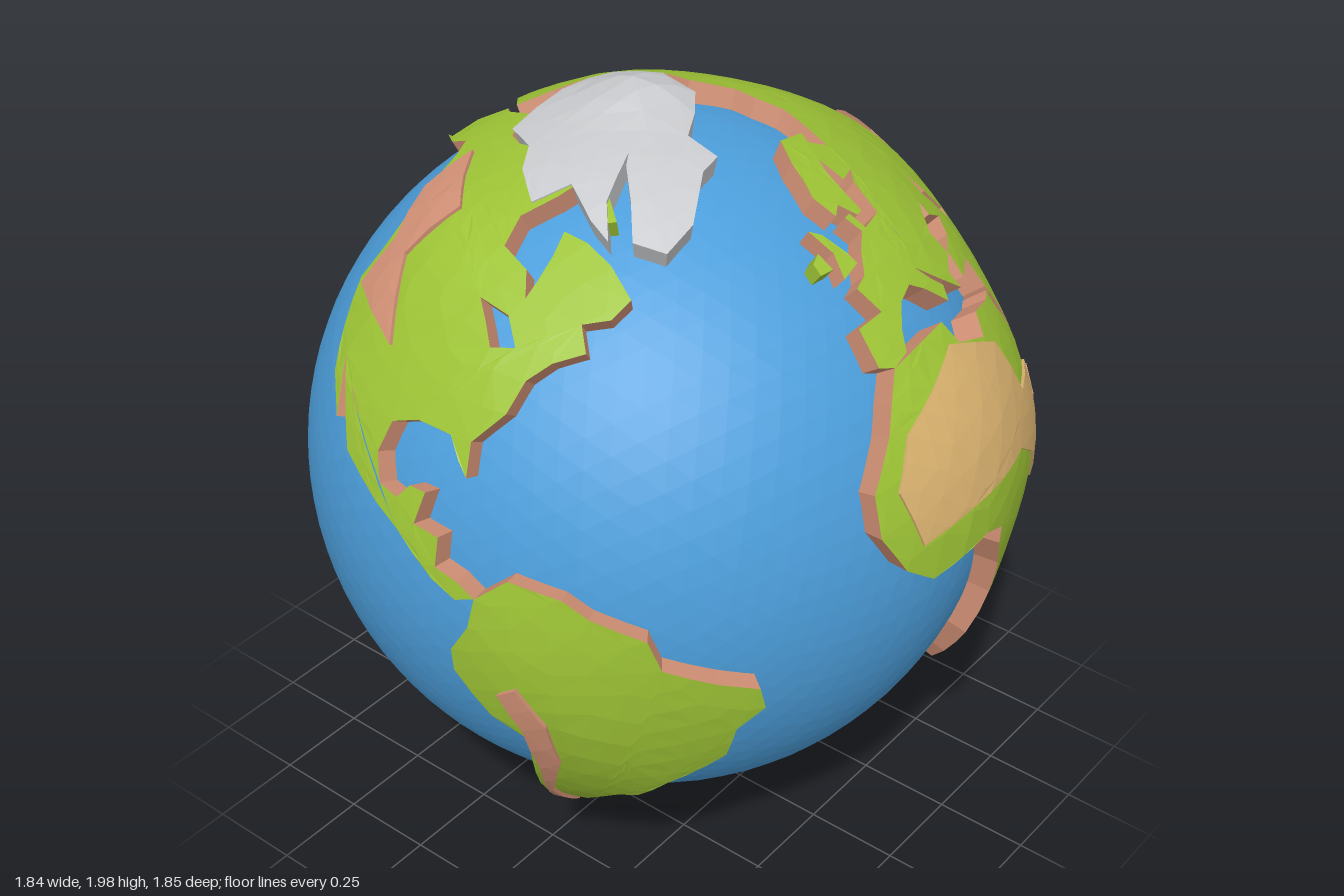
import * as THREE from 'three';

const CENTER = [-0.05, 1.01, 0];
const SEA = 0.885, COAST = 0.937, MAX_EDGE = 0.12;

const paint = (name, color, flat = true) => {
  const m = new THREE.MeshStandardMaterial({ color, flatShading: flat });
  m.name = name;
  return m;
};

// Unit direction from latitude and longitude in degrees
function dir([lat, lon]) {
  const a = THREE.MathUtils.degToRad(lat), b = THREE.MathUtils.degToRad(lon);
  return new THREE.Vector3(Math.cos(a) * Math.cos(b), Math.sin(a), -Math.cos(a) * Math.sin(b));
}
// Unit direction from a plan position over the north pole
const polar = ([x, z]) => new THREE.Vector3(x, Math.sqrt(1 - x * x - z * z), z);

// Broad highlands: position, extra height, width in radians
const highlands = [
  [dir([17, 8]), 0.042, 0.34], [dir([34, 88]), 0.045, 0.28], [dir([5, 33]), 0.02, 0.25],
  [dir([50, -116]), 0.016, 0.2], [dir([-24, 128]), 0.02, 0.2], [polar([-0.07, -0.03]), 0.045, 0.13],
];
function relief(d) {
  let h = 0.005 * Math.sin(9 * d.x + 4 * d.y) * Math.sin(8 * d.z - 5 * d.y + 1);
  for (const [c, height, width] of highlands) h += height * Math.exp(-((c.angleTo(d) / width) ** 2));
  return h;
}

// Raised slab on the globe from a coastline, with optional lakes
function slab(outline, top, lakes = [], bottom = 0.865) {
  const c = outline.reduce((s, d) => s.add(d), new THREE.Vector3()).normalize();
  const e = new THREE.Vector3(0, 1, 0).cross(c).normalize();
  const n = c.clone().cross(e);
  const flat = (ring) => ring.map((d) => new THREE.Vector2(d.dot(e), d.dot(n)).divideScalar(d.dot(c)));
  const turned = (ring, cw) => (THREE.ShapeUtils.isClockWise(flat(ring)) === cw ? ring : ring.slice().reverse());
  const rings = [turned(outline, false), ...lakes.map((l) => turned(l, true))];
  const points = rings.flat();
  const position = [];
  const put = (d, r) => position.push(d.x * r, d.y * r, d.z * r);
  const raise = (d) => put(d, top + relief(d));
  const middle = (a, b) => a.clone().add(b).normalize();

  // Split the longest edge until all are short, so neighbours always match
  const split = (a, b, d) => {
    const l = [a.distanceTo(b), b.distanceTo(d), d.distanceTo(a)];
    const m = Math.max(...l);
    if (m <= MAX_EDGE) return [a, b, d].forEach(raise);
    if (l[1] === m) return split(b, d, a);
    if (l[2] === m) return split(d, a, b);
    const h = middle(a, b);
    split(a, h, d);
    split(h, b, d);
  };
  for (const f of THREE.ShapeUtils.triangulateShape(flat(rings[0]), rings.slice(1).map(flat))) {
    const [a, b, d] = f.map((i) => points[i]);
    const up = b.clone().sub(a).cross(d.clone().sub(a)).dot(c) > 0;
    if (up) split(a, b, d); else split(a, d, b);
  }
  const topCount = position.length / 3;

  // Cliffs
  const cliff = (a, b) => {
    if (a.distanceTo(b) > MAX_EDGE) {
      const h = middle(a, b);
      cliff(a, h);
      cliff(h, b);
      return;
    }
    put(a, bottom); put(b, bottom); raise(b);
    put(a, bottom); raise(b); raise(a);
  };
  for (const ring of rings) ring.forEach((a, i) => cliff(a, ring[(i + 1) % ring.length]));

  const g = new THREE.BufferGeometry();
  g.setAttribute('position', new THREE.Float32BufferAttribute(position, 3));
  g.addGroup(0, topCount, 0);
  g.addGroup(topCount, position.length / 3 - topCount, 1);
  g.computeVertexNormals();
  return g;
}

const continents = {
  northAmerica: [[71, -156], [66, -164], [65, -168], [60, -165], [57, -158], [55, -162], [58, -153], [61, -149], [60, -142],
    [57, -135], [50, -126], [46, -124], [40, -124], [34, -119], [28, -115], [23, -110], [28, -112], [31.5, -114], [26, -109],
    [20, -105], [16, -96], [14, -91], [9, -84], [7, -80], [8, -77], [10, -80], [11, -83.5], [15.5, -83.5], [16, -88], [21, -87],
    [21, -90], [18.5, -92], [19, -96], [23, -98], [28, -97], [30, -92], [30, -85], [27, -82.5], [25, -80.5], [30, -81],
    [35, -76], [40, -74], [43, -70], [45, -64], [49, -66], [50, -60], [53, -56], [58, -62], [61, -70], [62, -78], [58, -78],
    [54, -79], [51, -80], [55, -83], [57, -92], [62, -94], [67, -87], [70, -83], [74, -95], [72, -120], [70, -130], [69, -140]],
  southAmerica: [[8, -77], [12, -72], [10.5, -64], [8, -60], [5, -52], [0, -50], [-3, -42], [-5, -36], [-9, -35], [-13, -39],
    [-20, -40], [-23, -43], [-28, -49], [-34, -54], [-35, -58], [-39, -62], [-43, -65], [-50, -68], [-54, -66], [-55, -70],
    [-50, -75], [-42, -74], [-30, -72], [-18, -70.5], [-14, -76], [-6, -81], [-2, -81], [3, -78]],
  africa: [[36, -6], [37, 3], [37, 10], [33, 11], [30, 19], [33, 22], [31, 30], [31, 33], [28, 33], [22, 37], [15, 40],
    [11.5, 43], [12, 51], [5, 48], [-2, 42], [-10, 40], [-15, 40.5], [-20, 35], [-26, 33], [-33, 27], [-34.5, 20], [-30, 17],
    [-22, 14], [-12, 13.5], [-5, 12], [1, 9], [4, 9], [6, 4], [5, -4], [4.5, -8], [8, -13], [14.5, -17], [21, -17], [28, -12], [32, -9.5]],
  europe: [[36, -6], [37, -9], [43, -9], [43.5, -2], [48, -4], [49, 0], [52, 4], [54, 9], [57, 8], [57, 10.5], [54, 11], [54, 19],
    [57, 21.5], [59, 24], [60, 30], [60.5, 22], [65, 25], [63, 20], [60, 17], [56, 15], [56, 12.5], [59, 10], [58, 6], [62, 5],
    [68, 14], [71, 26], [68, 40], [67, 34], [64, 38], [66, 44], [68, 54], [69, 60], [55, 60], [47, 52], [45, 47], [42, 48],
    [42, 42], [45, 37], [47, 39], [46, 32], [45, 29], [41, 28.5], [40, 23], [37, 23], [40, 19.5], [45, 14], [42, 16], [40, 18],
    [38, 16], [42, 12], [44, 9], [43, 4], [40, 0], [37, -2]],
  asia: [[69, 60], [55, 60], [47, 52], [43, 51], [37, 54], [37, 50], [42, 48], [42, 42], [41, 36], [41, 29], [37, 27], [36.5, 35],
    [31, 34.5], [29.5, 35], [21, 39], [13, 43], [13, 46], [17, 55], [22, 59.5], [24, 53], [29, 48.5], [30, 50], [27, 56], [25, 62],
    [25, 67], [21, 72], [8, 77], [16, 81], [22, 88], [21, 92], [16, 94.5], [16, 97], [8, 98.5], [2, 102], [1.5, 104], [6, 102.5],
    [13, 100.5], [9, 105], [15, 109], [21, 108], [22, 114], [30, 122], [37, 121], [39, 118], [39, 124], [40, 128], [43, 133],
    [52, 141], [54, 136], [59, 143], [60, 155], [51, 157], [58, 163], [62, 179], [66, 190], [70, 178], [71, 160], [73, 140],
    [73, 128], [77, 105], [73, 82], [72, 70]],
  australia: [[-11, 142.5], [-17, 141], [-12, 136], [-12, 131], [-15, 129], [-18, 122], [-22, 114], [-34, 115], [-32, 128],
    [-35, 136], [-39, 146], [-37, 150], [-28, 153.5], [-19, 147]],
};
const greatLakes = [[49, -90], [48, -82], [44, -78], [43, -83], [46, -86]];

const islands = {
  baffinIsland: [[73, -82], [70, -70], [65, -63], [64, -70], [69, -78]],
  britishIsle: [[58.5, -5], [57, -2], [53, 0.5], [51, 1], [50, -5], [54, -3]],
  irishIsle: [[55, -7], [52, -6], [52, -10], [54, -10]],
  japan: [[45, 142], [43, 145], [36, 141], [34, 136], [31, 130], [34, 131], [37, 137], [41, 140]],
  sakhalin: [[54, 142], [49, 144.5], [46, 143], [50, 142]],
  taiwan: [[25, 121.5], [22, 121], [23.5, 120]],
  luzon: [[18.5, 121], [14, 124], [13, 121], [16, 120]],
  mindanao: [[9.5, 125.5], [6, 126], [6.5, 122]],
  visayas: [[12, 125], [10, 124.5], [10, 122], [12, 122.5]],
  borneo: [[7, 117], [1, 118.5], [-4, 115], [-2.5, 110], [2, 109.5]],
  sumatra: [[5.5, 95.5], [0, 104], [-6, 105.5], [-1, 100]],
  java: [[-6, 105.5], [-7, 114], [-9, 114], [-7.5, 106]],
  lesserSunda: [[-8, 117], [-8.3, 124], [-10, 124], [-9, 117]],
  sulawesi: [[1.5, 125], [0, 120], [-5.5, 119.5], [-5, 122.5], [-1, 122]],
  newGuinea: [[-1, 131], [-2, 138], [-5, 145], [-10, 150.5], [-8, 144], [-8, 138], [-4, 133]],
  newBritain: [[-4, 152], [-6, 150], [-5, 148.5], [-3, 150]],
  tasmania: [[-41, 145], [-41, 148], [-43.5, 147]],
  newZealandNorth: [[-35, 173], [-38, 178], [-41.5, 175.5], [-39, 174]],
  newZealandSouth: [[-41, 173.5], [-43.5, 173], [-46.5, 169], [-45, 167]],
};

const arctic = [[-0.3, 0], [-0.26, -0.16], [-0.13, -0.2], [-0.06, -0.14], [0.03, -0.13], [0.1, -0.04], [0.15, 0.05], [0.25, 0.06],
  [0.26, 0.13], [0.34, 0.27], [0.34, 0.37], [0.26, 0.4], [0.19, 0.32], [0.11, 0.24], [0.085, 0.2], [0.14, 0.35], [0.21, 0.43],
  [0.14, 0.41], [0.03, 0.35], [-0.03, 0.43], [-0.13, 0.35], [-0.18, 0.27], [-0.29, 0.21]];
const antarctic = [[-65, -58], [-73, -62], [-76, -40], [-72, -15], [-70, 10], [-68, 40], [-67, 60], [-69, 75], [-66, 90],
  [-66, 115], [-67, 140], [-71, 165], [-78, 165], [-78, -160], [-74, -130], [-73, -100], [-72, -75]];

const mountains = {
  rockyRange: [[63, -138], [61, -125], [58, -112], [48, -114], [37, -104], [40, -121], [48, -121], [55, -132]],
  andesRange: [[-6, -71], [-13, -67], [-22.6, -66], [-37, -70.5], [-51, -70], [-51, -73], [-44, -73], [-26, -70], [-15, -71], [-8, -74]],
  highPlateau: [[48, 80], [40, 91], [41, 106], [32, 104], [24, 101], [26, 88], [33, 76], [40, 80]],
  eastAsianHills: [[47.5, 135.5], [43.3, 132.5], [40.2, 127.8], [39.1, 123.8], [39.2, 118.5], [46, 121]],
  australianOutback: [[-19, 122], [-16, 133], [-23, 141], [-30, 138], [-31, 118], [-24, 116]],
  riftHills: [[14, 38], [9, 41], [6, 37], [10, 35.5]],
};
const sahara = [[20, -13], [27, -9], [34, 8], [28, 21], [18, 24], [17, 34.5], [7, 34], [-1, 30], [7, 24.6], [13, 16], [12.5, 0], [11, -10]];

export function createModel() {
  const ocean = paint('ocean blue', 0x4c9edb);
  const grass = paint('grass green', 0x9dc335);
  const rock = paint('rock brown', 0xd29176);
  const sand = paint('desert sand', 0xdab26f);
  const ice = paint('ice grey', 0xcacbce);

  const globe = new THREE.Group();
  globe.name = 'globe';
  globe.position.set(...CENTER);
  const add = (name, geometry, material) => {
    const mesh = new THREE.Mesh(geometry, material);
    mesh.name = name;
    globe.add(mesh);
  };

  add('ocean', new THREE.IcosahedronGeometry(SEA, 15), ocean);

  // Land with rocky cliffs
  for (const [name, outline] of Object.entries(continents)) {
    const lakes = name === 'northAmerica' ? [greatLakes.map(dir)] : [];
    add(name, slab(outline.map(dir), COAST, lakes), [grass, rock]);
  }
  const rocky = ['java', 'sumatra', 'newGuinea', 'luzon', 'lesserSunda', 'britishIsle'];
  for (const [name, outline] of Object.entries(islands)) {
    add(name, slab(outline.map(dir), COAST - 0.004), [grass, rocky.includes(name) ? rock : grass]);
  }

  // Mountain and desert plates lying on the land
  for (const [name, outline] of Object.entries(mountains)) {
    add(name, slab(outline.map(dir), COAST + 0.009, [], 0.92), [rock, rock]);
  }
  add('desert', slab(sahara.map(dir), COAST + 0.007, [], 0.92), [sand, sand]);

  // Polar ice, stepped up towards the south pole
  add('arcticIce', slab(arctic.map(polar), COAST + 0.004), [ice, ice]);
  add('antarcticIce', slab(antarctic.map(dir), COAST), [ice, ice]);
  const tier = (lat, sides) => Array.from({ length: sides }, (_, i) => dir([lat - (i % 2) * 1.5, (i * 360) / sides]));
  add('antarcticPlateau', slab(tier(-78.5, 9), 0.968), [ice, ice]);
  add('antarcticPeak', slab(tier(-83.5, 6), 1.005), [ice, ice]);

  const model = new THREE.Group();
  model.name = 'worldGlobe';
  model.add(globe);
  return model;
}
